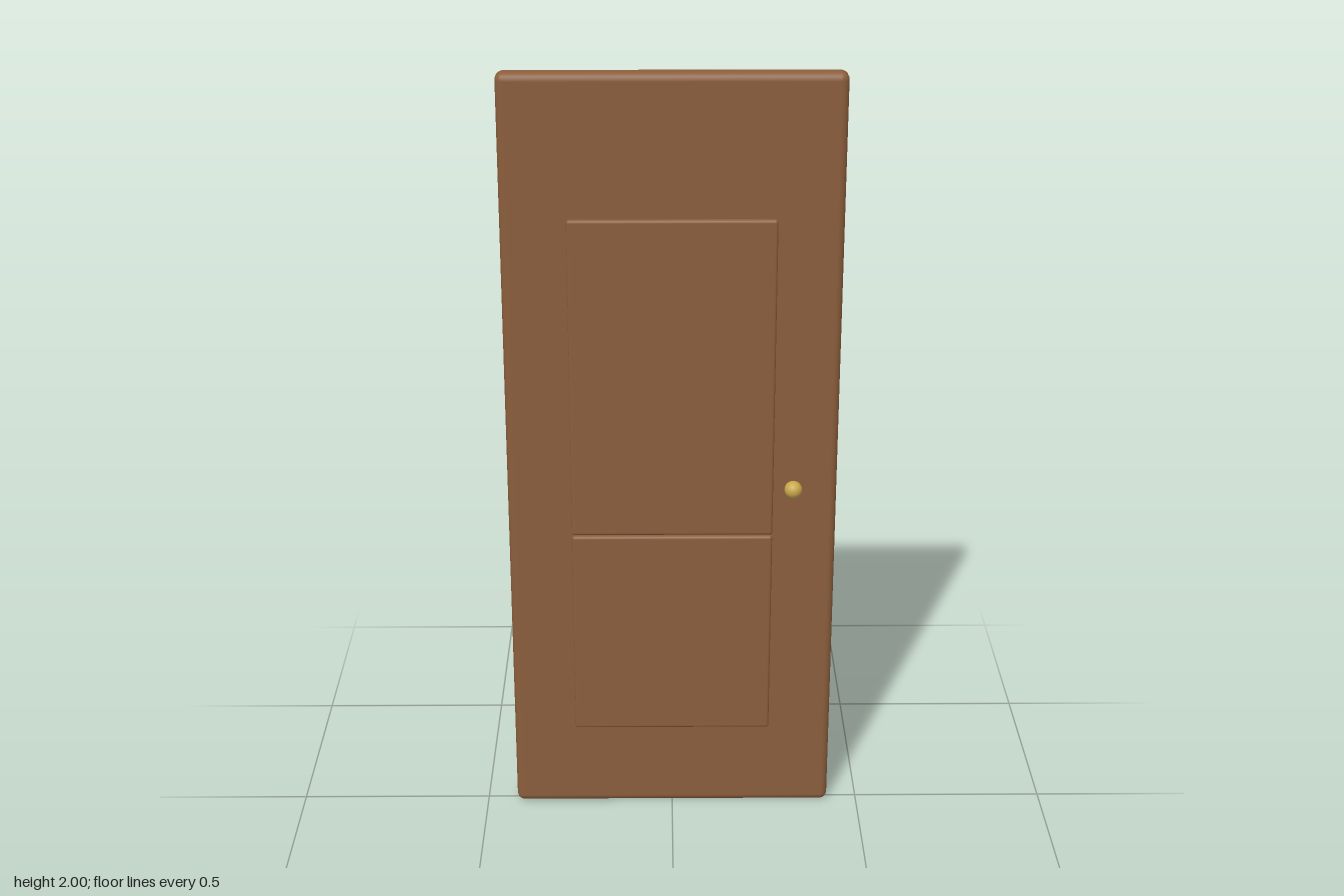
import * as THREE from 'three';
import { RoundedBoxGeometry } from 'three/addons/geometries/RoundedBoxGeometry.js';

export function createModel() {
  const model = new THREE.Group();
  model.name = 'door';

  const wood = new THREE.MeshStandardMaterial({ name: 'wood', color: 0x8b5e3c });
  const brass = new THREE.MeshStandardMaterial({ name: 'brass', color: 0xc9a84c });

  // A rounded board spanning the heights y0 to y1
  function board(name, width, y0, y1, depth, z, radius) {
    const geometry = new RoundedBoxGeometry(width, y1 - y0, depth, 3, radius);
    const mesh = new THREE.Mesh(geometry, wood);
    mesh.name = name;
    mesh.position.set(0, (y0 + y1) / 2, z);
    model.add(mesh);
  }

  // Door leaf with two raised panels on the front
  board('doorLeaf', 0.842, 0, 2, 0.056, 0, 0.02);
  board('upperPanel', 0.516, 0.805, 1.645, 0.018, 0.036, 0.008);
  board('lowerPanel', 0.516, 0.238, 0.802, 0.018, 0.036, 0.008);

  // Round knobs, front and back
  const knobGeometry = new THREE.SphereGeometry(0.0225, 24, 16);
  for (const side of [1, -1]) {
    const knob = new THREE.Mesh(knobGeometry, brass);
    knob.name = side > 0 ? 'frontKnob' : 'backKnob';
    knob.position.set(0.307, 0.943, side * 0.066);
    model.add(knob);
  }

  return model;
}
